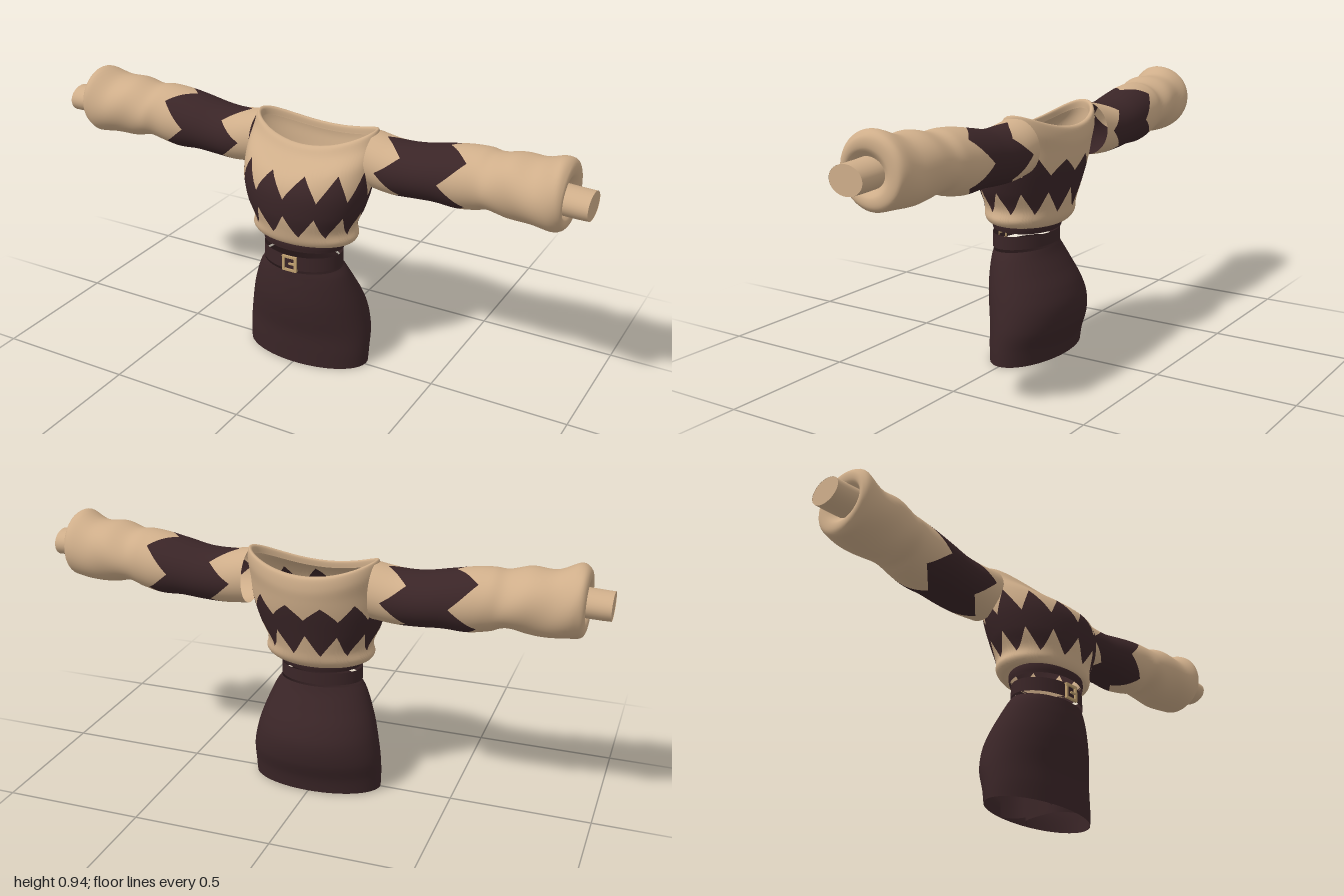
import * as THREE from 'three';

const TAU = Math.PI * 2;
const material = (name, color, side = THREE.DoubleSide) => {
  const m = new THREE.MeshStandardMaterial({ color, side });
  m.name = name;
  return m;
};

// Smooth interpolation through a list of cross-sections
function sample(rows, v) {
  const n = rows.length - 1;
  const i = Math.max(0, Math.min(n - 1, Math.floor(v)));
  const t = v - i;
  const a = rows[Math.max(0, i - 1)], b = rows[i], c = rows[i + 1], d = rows[Math.min(n, i + 2)];
  return b.map((q, k) => {
    const m0 = (c[k] - a[k]) / 2, m1 = (d[k] - q) / 2, e = c[k] - q;
    return q + t * (m0 + t * (3 * e - 2 * m0 - m1 + t * (m0 + m1 - 2 * e)));
  });
}

// Upright ring: [y, halfWidth, zFront, zBack, sideLift, frontTilt]
const upright = (rows) => (u, v) => {
  const [y, w, zf, zb, lift, tilt] = sample(rows, v);
  const s = Math.sin(u), c = Math.cos(u);
  return new THREE.Vector3(w * s, y + lift * s * s + tilt * c, (zf + zb) / 2 + (zf - zb) / 2 * c);
};

// Sleeve ring: [x, yTop, yBottom, zFront, zBack]; side is +1 or -1
const sideways = (rows, side) => (u, v) => {
  const [x, yt, yb, zf, zb] = sample(rows, v);
  const a = -side * u;
  const puff = Math.max(0, Math.min(1, (v - 4.5) / 1.5)) * Math.max(0, Math.min(1, 10 - v));
  const r = 1 + 0.02 * puff * Math.sin(3 * a + v * 2.6);
  return new THREE.Vector3(side * x, (yt + yb) / 2 + (yt - yb) / 2 * r * Math.sin(a),
    (zf + zb) / 2 + (zf - zb) / 2 * r * Math.cos(a));
};

// Surface between two boundary curves low(u) and high(u), normals taken from the whole surface
function patch(name, surface, low, high, mat, nu = 96, nv = 16) {
  const pos = [], nor = [], index = [], e = 0.01;
  for (let j = 0; j <= nv; j++) {
    for (let i = 0; i <= nu; i++) {
      const u = i / nu * TAU, v = low(u) + (high(u) - low(u)) * j / nv;
      const du = surface(u + e, v).sub(surface(u - e, v));
      const dv = surface(u, v + e).sub(surface(u, v - e));
      pos.push(...surface(u, v).toArray());
      nor.push(...du.cross(dv).normalize().toArray());
      if (i < nu && j < nv) {
        const a = j * (nu + 1) + i, b = a + nu + 1;
        index.push(a, a + 1, b, a + 1, b + 1, b);
      }
    }
  }
  const g = new THREE.BufferGeometry();
  g.setAttribute('position', new THREE.Float32BufferAttribute(pos, 3));
  g.setAttribute('normal', new THREE.Float32BufferAttribute(nor, 3));
  g.setIndex(index);
  const mesh = new THREE.Mesh(g, mat);
  mesh.name = name;
  return mesh;
}

const flat = (v) => () => v;
// Triangle wave, 0 at u = 0 and 1 halfway between teeth
const zigzag = (u, teeth) => {
  const t = (u / TAU * teeth) % 1;
  return 1 - Math.abs(2 * t - 1);
};

export function createModel() {
  const model = new THREE.Group();
  model.name = 'outfit';
  const tan = material('tan knit', 0xcfae8a);
  const dark = material('dark brown', 0x3a2527);
  const gold = material('buckle gold', 0xc0a070, THREE.FrontSide);

  // Sweater body with a zigzag band and a wide neckline
  const bodyRows = [
    [0.50, 0.150, 0.140, -0.080, 0, 0.010],
    [0.493, 0.180, 0.147, -0.100, 0, 0.008],
    [0.515, 0.198, 0.158, -0.122, 0, 0.004],
    [0.555, 0.190, 0.167, -0.132, 0, 0],
    [0.62, 0.218, 0.181, -0.148, 0, 0],
    [0.70, 0.238, 0.178, -0.168, 0, 0],
    [0.755, 0.240, 0.145, -0.178, 0.03, 0],
    [0.795, 0.238, 0.080, -0.182, 0.055, 0],
    [0.830, 0.232, 0.052, -0.175, 0.060, -0.004],
    [0.835, 0.220, 0.035, -0.158, 0.052, -0.004],
    [0.812, 0.218, 0.035, -0.155, 0.050, -0.004],
  ];
  const body = upright(bodyRows);
  const bandLow = (u) => 4.0 - 1.3 * zigzag(u, 12);
  const bandHigh = (u) => 4.75 + (1.05 + 0.3 * Math.cos(u)) * zigzag(u, 12);
  model.add(
    patch('sweaterHem', body, flat(0), bandLow, tan),
    patch('sweaterZigzag', body, bandLow, bandHigh, dark),
    patch('sweaterYoke', body, bandHigh, flat(10), tan, 96, 24),
  );

  // Ribbed waistband below the sweater
  model.add(patch('waistband', upright([
    [0.465, 0.150, 0.140, -0.078, 0, 0.007],
    [0.485, 0.154, 0.144, -0.083, 0, 0.009],
    [0.505, 0.152, 0.142, -0.083, 0, 0.010],
  ]), flat(0), flat(2), dark, 64, 4));

  // Puffed sleeves with zigzag bands and narrow cuffs
  const sleeveRows = [
    [0.225, 0.885, 0.690, 0.030, -0.165],
    [0.31, 0.870, 0.682, 0.040, -0.170],
    [0.39, 0.872, 0.685, 0.040, -0.175],
    [0.47, 0.887, 0.690, 0.045, -0.177],
    [0.55, 0.902, 0.686, 0.050, -0.176],
    [0.62, 0.908, 0.698, 0.052, -0.170],
    [0.67, 0.902, 0.714, 0.065, -0.166],
    [0.74, 0.920, 0.702, 0.072, -0.166],
    [0.82, 0.917, 0.698, 0.080, -0.162],
    [0.89, 0.942, 0.697, 0.090, -0.155],
    [0.92, 0.925, 0.712, 0.078, -0.142],
    [0.922, 0.890, 0.742, 0.060, -0.105],
    [0.90, 0.862, 0.765, 0.048, -0.072],
  ];
  const cuffRows = [
    [0.89, 0.862, 0.765, 0.050, -0.075],
    [0.95, 0.858, 0.762, 0.050, -0.075],
    [1.0, 0.856, 0.762, 0.050, -0.075],
  ];
  const inner = (u) => 0.55 + 0.95 * zigzag(u, 4);
  const outer = (u) => 3.35 + 1.15 * zigzag(u, 4);
  for (const side of [1, -1]) {
    const arm = sideways(sleeveRows, side);
    const sleeve = new THREE.Group();
    sleeve.name = side > 0 ? 'leftSleeve' : 'rightSleeve';
    sleeve.add(
      patch('shoulder', arm, flat(0), inner, tan, 48, 6),
      patch('sleeveZigzag', arm, inner, outer, dark, 48, 12),
      patch('puff', arm, outer, flat(12), tan, 48, 40),
      patch('cuff', sideways(cuffRows, side), flat(0), flat(2), tan, 32, 3),
    );
    const cap = new THREE.Mesh(new THREE.CircleGeometry(1, 32), tan);
    cap.name = 'cuffEnd';
    cap.scale.set(0.0625, 0.047, 1);
    cap.rotation.y = side * Math.PI / 2;
    cap.position.set(side * 0.999, 0.809, -0.0125);
    sleeve.add(cap);
    model.add(sleeve);
  }

  // Belt
  model.add(patch('belt', upright([
    [0.402, 0.150, 0.140, -0.072, 0, -0.005],
    [0.451, 0.149, 0.139, -0.071, 0, 0],
  ]), flat(0), flat(1), dark, 64, 2));

  // Buckle: open frame with a prong
  const buckle = new THREE.Group();
  buckle.name = 'buckle';
  const bar = (name, w, h, x, y) => {
    const m = new THREE.Mesh(new THREE.BoxGeometry(w, h, 0.009), gold);
    m.name = name;
    m.position.set(x, y, 0);
    buckle.add(m);
  };
  for (const s of [1, -1]) {
    bar('frameSide', 0.009, 0.058, s * 0.024, 0);
    bar('frameEdge', 0.048, 0.008, 0, s * 0.025);
  }
  bar('prong', 0.026, 0.006, 0.010, 0);
  buckle.position.set(0.004, 0.421, 0.142);
  model.add(buckle);

  // Fitted skirt
  model.add(patch('skirt', upright([
    [0.004, 0.238, 0.115, -0.127, 0, -0.002],
    [0.06, 0.240, 0.118, -0.137, 0, 0],
    [0.13, 0.238, 0.122, -0.161, 0, 0],
    [0.20, 0.226, 0.134, -0.166, 0, 0],
    [0.26, 0.210, 0.141, -0.147, 0, 0],
    [0.32, 0.188, 0.141, -0.112, 0, 0],
    [0.365, 0.168, 0.138, -0.084, 0, -0.003],
    [0.392, 0.150, 0.136, -0.071, 0, -0.006],
  ]), flat(0), flat(7), dark, 64, 28));

  // Inner leg walls, flaring toward front and back
  for (const side of [1, -1]) {
    const g = new THREE.PlaneGeometry(2, 0.22, 16, 1);
    const p = g.attributes.position;
    for (let i = 0; i < p.count; i++) {
      const t = p.getX(i);
      p.setXYZ(i, side * (0.009 + 0.06 * t ** 4), p.getY(i) + 0.115, -0.006 + 0.112 * t);
    }
    g.computeVertexNormals();
    const wall = new THREE.Mesh(g, dark);
    wall.name = side > 0 ? 'leftInnerLeg' : 'rightInnerLeg';
    model.add(wall);
  }

  return model;
}
